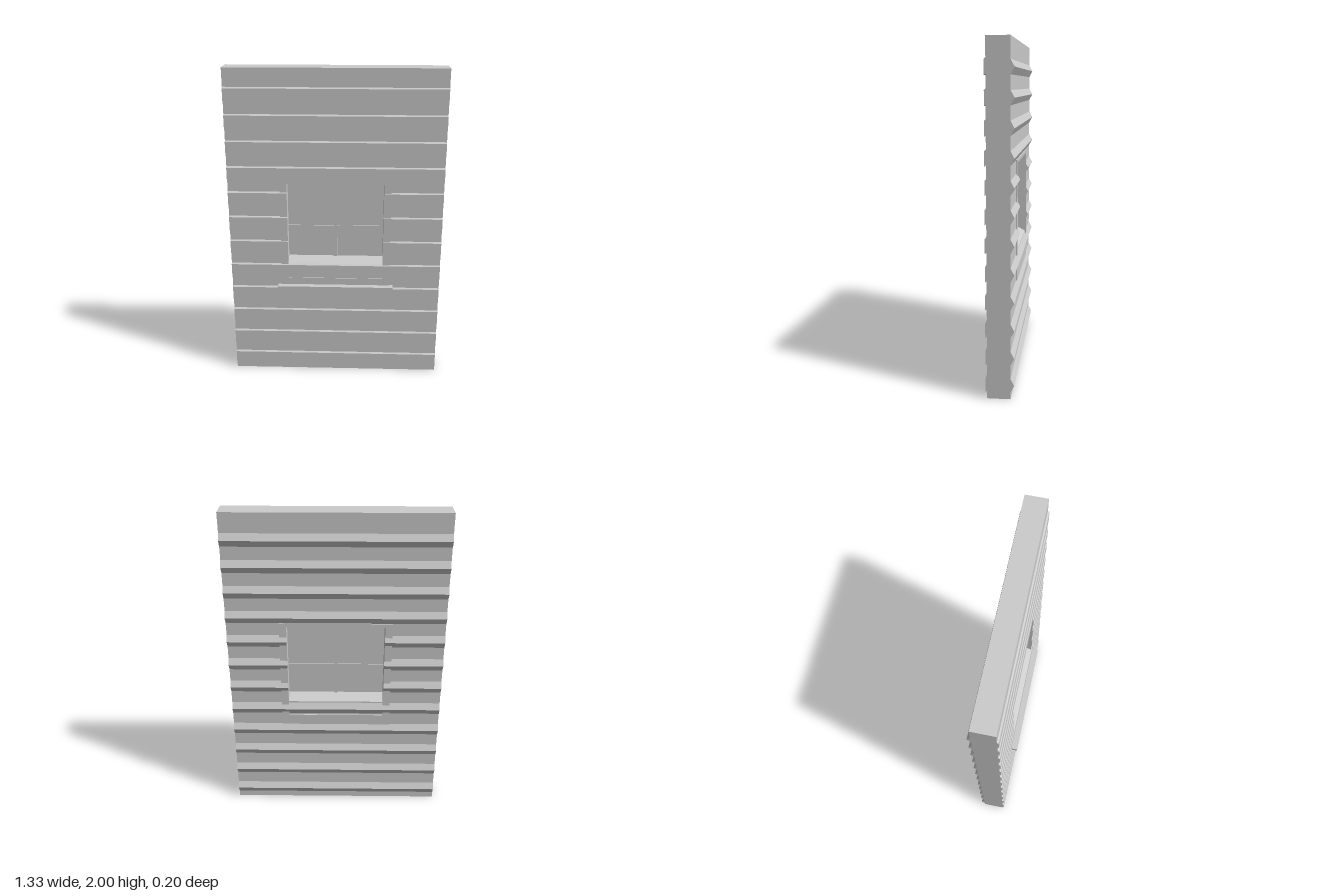
import * as THREE from 'three';

const HALF_W = 0.665, OPEN_W = 0.3, PITCH = 0.16;
const FRONT = 0.054, BOARD = 0.063, BACK = -0.078, RIDGE = -0.099, MID = -0.01;

// Points of the clapboard front between two heights, as [z, y], going up
function frontEdge(y0, y1) {
  const pts = [];
  for (let k = 0; k < 12; k++) {
    const y = 0.04 + k * PITCH;
    if (y < y0 - 0.001 || y + 0.08 > y1 + 0.001) continue;
    pts.push([FRONT, y + 0.004], [BOARD, y - 0.004], [BOARD, y + 0.08], [FRONT, y + 0.088]);
  }
  return pts;
}

// Points of the ridged back between two heights, going up
function backEdge(y0, y1) {
  const pts = [];
  for (let k = 0; k < 12; k++) {
    const y = 0.08 + k * PITCH;
    if (y - 0.04 < y0 - 0.001 || y + 0.04 > y1 + 0.001) continue;
    pts.push([BACK, y - 0.04], [RIDGE, y], [BACK, y + 0.04]);
  }
  return pts;
}

// Extrudes a [z, y] outline along x from x0 to x1
function extrudeAlongX(points, x0, x1) {
  const shape = new THREE.Shape(points.map(([z, y]) => new THREE.Vector2(-z, y)));
  const geo = new THREE.ExtrudeGeometry(shape, { depth: x1 - x0, bevelEnabled: false });
  geo.rotateY(Math.PI / 2);
  geo.translate(x0, 0, 0);
  return geo;
}

// Wall slice; crown and base add the sloping sill and lintel
function wallOutline(y0, y1, base = [], crown = []) {
  return [[FRONT, y0], ...frontEdge(y0, y1), [FRONT, y1], ...crown,
    [BACK, y1], ...backEdge(y0, y1).reverse(), [BACK, y0], ...base];
}

export function createModel() {
  const group = new THREE.Group();
  const grey = new THREE.MeshStandardMaterial({ color: 0xcccccc });
  grey.name = 'plain grey';
  const add = (name, geo) => {
    const mesh = new THREE.Mesh(geo, grey);
    mesh.name = name;
    group.add(mesh);
  };
  const addBox = (name, w, h, d, x, y, z) =>
    add(name, new THREE.BoxGeometry(w, h, d).translate(x, y, z));

  // Wall on both sides of, below and above the window
  add('wallLeft', extrudeAlongX(wallOutline(0, 2), OPEN_W, HALF_W));
  add('wallRight', extrudeAlongX(wallOutline(0, 2), -HALF_W, -OPEN_W));
  add('wallBelow', extrudeAlongX(wallOutline(0, 0.768, [], [[MID, 0.805]]), -OPEN_W, OPEN_W));
  add('wallAbove', extrudeAlongX(wallOutline(1.3, 2, [[MID, 1.28]]), -OPEN_W, OPEN_W));

  // Casing set into the wall, just proud of the grooves on both faces
  const casing = new THREE.Shape([[-0.345, 0.6], [0.345, 0.6], [0.345, 1.32], [-0.345, 1.32]]
    .map(p => new THREE.Vector2(...p)));
  casing.holes.push(new THREE.Path([[-0.3, 0.67], [-0.3, 1.3], [0.3, 1.3], [0.3, 0.67]]
    .map(p => new THREE.Vector2(...p))));
  const casingGeo = new THREE.ExtrudeGeometry(casing, { depth: 0.144, bevelEnabled: false });
  add('windowCasing', casingGeo.translate(0, 0, -0.085));

  // Pane and crossing glazing bars
  addBox('windowPane', 0.6, 0.52, 0.008, 0, 1.04, MID);
  addBox('glazingBarUpright', 0.02, 0.5, 0.02, 0, 1.04, MID);
  addBox('glazingBarLevel', 0.6, 0.02, 0.02, 0, 1.0, MID);

  // Outer ledge below the window
  addBox('ledge', 0.734, 0.03, 0.046, 0, 0.61, 0.074);

  return group;
}
